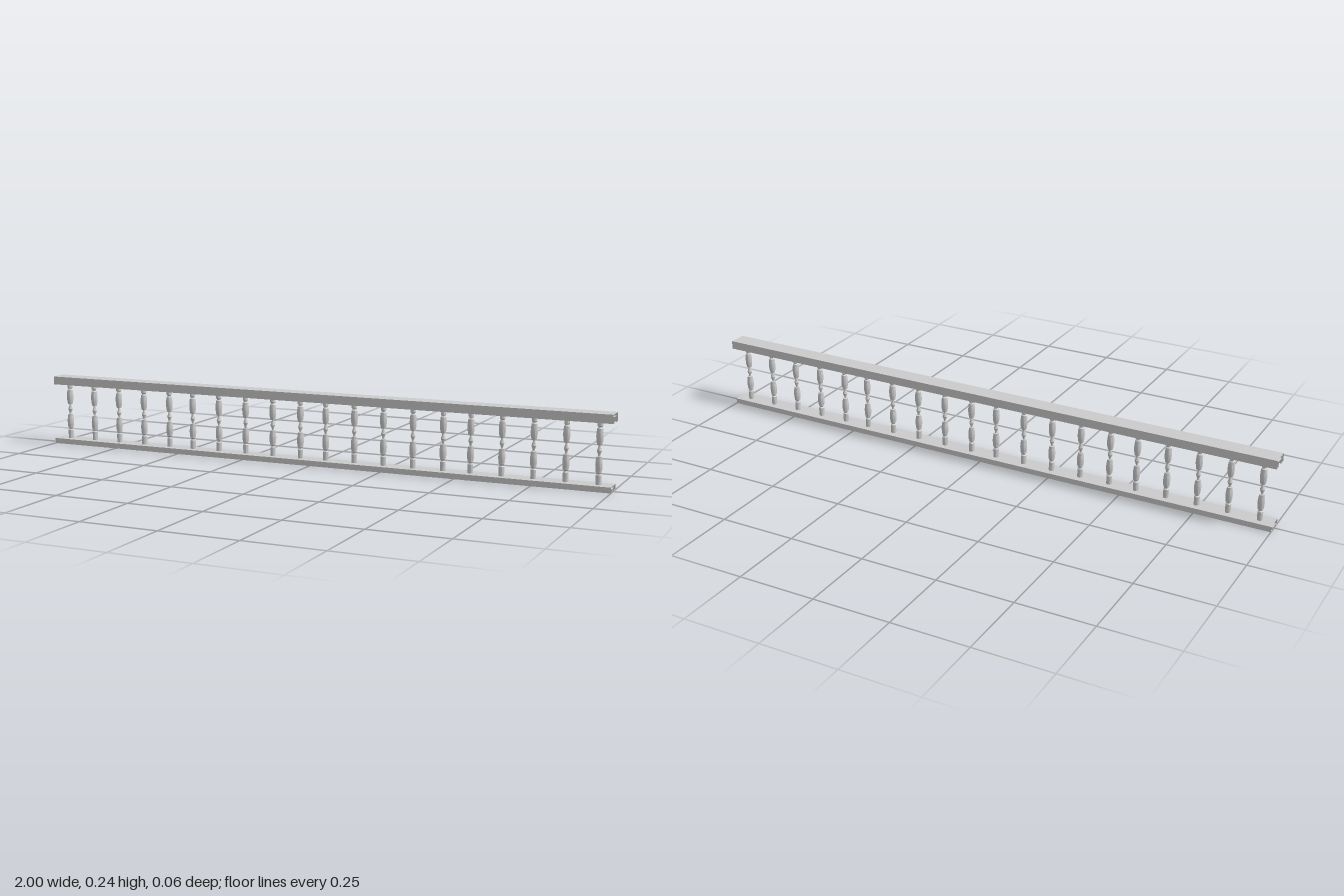
import * as THREE from 'three';
import { toCreasedNormals } from 'three/addons/utils/BufferGeometryUtils.js';

const material = new THREE.MeshStandardMaterial({ color: 0xcccccc });
const openMaterial = new THREE.MeshStandardMaterial({ color: 0xcccccc, side: THREE.DoubleSide });

// Open-ended rail with a groove along its underside, swept along x
function rail(name, bottom, top, grooveTop) {
  const half = 0.03, groove = 0.015;
  // Cross-section as [z, y] points, starting up the front face
  const section = [
    [half, bottom], [half, top], [-half, top], [-half, bottom],
    [-groove, bottom], [-groove, grooveTop], [groove, grooveTop], [groove, bottom],
  ];
  const positions = [];
  section.forEach(([z0, y0], i) => {
    const [z1, y1] = section[(i + 1) % section.length];
    positions.push(
      -1, y0, z0, 1, y0, z0, 1, y1, z1,
      -1, y0, z0, 1, y1, z1, -1, y1, z1
    );
  });
  const geometry = new THREE.BufferGeometry();
  geometry.setAttribute('position', new THREE.Float32BufferAttribute(positions, 3));
  geometry.computeVertexNormals();
  const mesh = new THREE.Mesh(geometry, openMaterial);
  mesh.name = name;
  return mesh;
}

// Turned baluster: plain ends, two long bulbs and a bead between them
function balusterGeometry() {
  const profile = [
    [0, 0.015], [0.009, 0.015], [0.009, 0.047], [0.006, 0.05], [0.006, 0.052],
    [0.009, 0.055], [0.0108, 0.066], [0.0115, 0.079], [0.0105, 0.091], [0.008, 0.104],
    [0.0035, 0.105], [0.0035, 0.109], [0.008, 0.122], [0.0035, 0.135], [0.0035, 0.139],
    [0.008, 0.14], [0.0105, 0.152], [0.0115, 0.166], [0.0108, 0.179], [0.009, 0.191],
    [0.006, 0.194], [0.006, 0.196], [0.009, 0.199], [0.009, 0.231], [0, 0.231],
  ].map(([r, y]) => new THREE.Vector2(r, y));
  return toCreasedNormals(new THREE.LatheGeometry(profile, 12), 0.6);
}

export function createModel() {
  const group = new THREE.Group();
  group.name = 'balustrade';

  group.add(rail('handrail', 0.212, 0.24, 0.231));
  group.add(rail('bottomRail', 0, 0.018, 0.009));

  // Four half-unit bays of five balusters
  const geometry = balusterGeometry();
  for (let bay = 0; bay < 4; bay++) {
    for (let i = 0; i < 5; i++) {
      const baluster = new THREE.Mesh(geometry, material);
      baluster.name = 'baluster';
      baluster.position.set(-0.75 + bay * 0.5 + (i - 2) * 0.102, 0, -0.001);
      group.add(baluster);
    }
  }
  return group;
}
